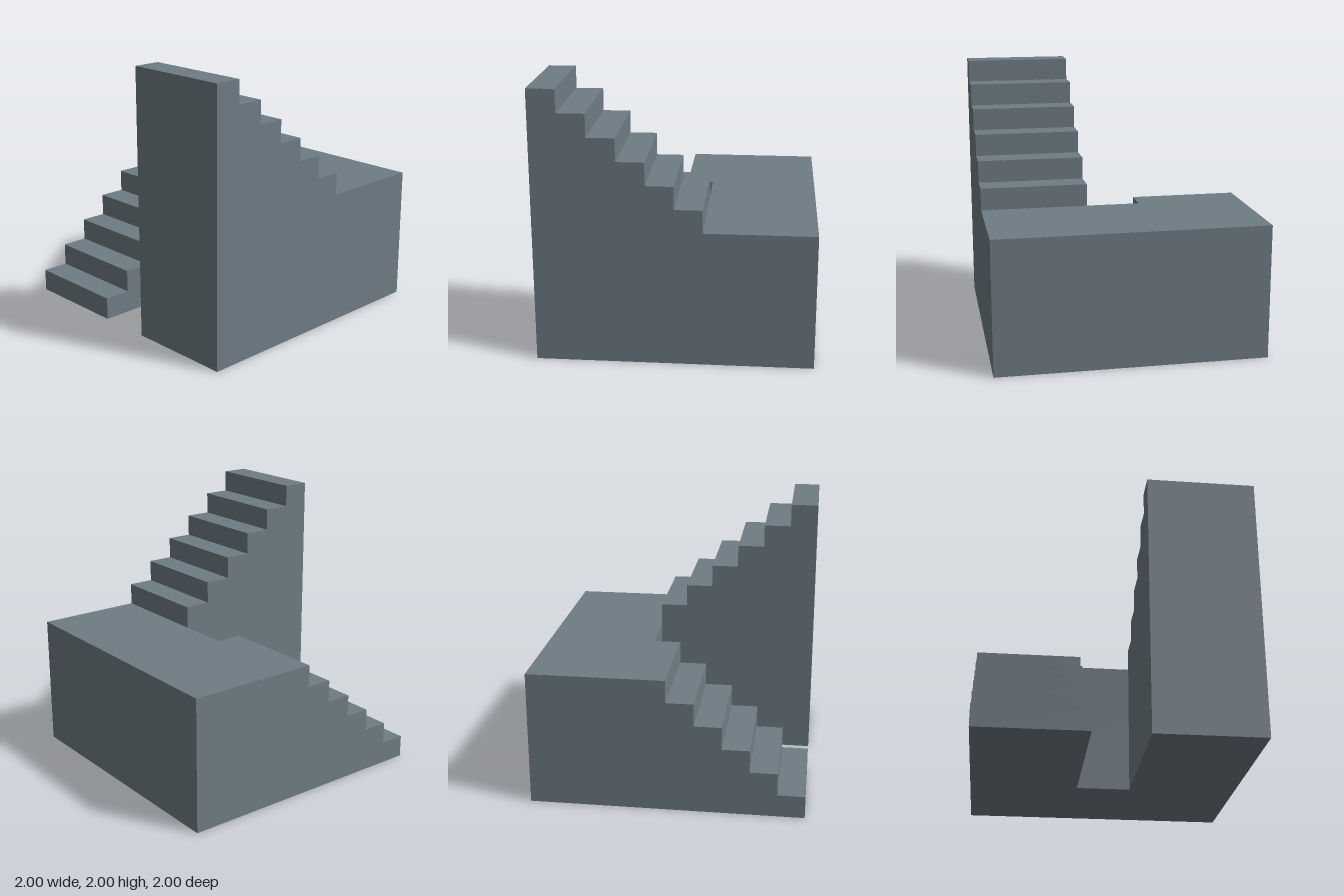
import * as THREE from 'three';

const STEPS = 6;
const RISE = 1 / STEPS;
const RUN = 0.2;
const FLIGHT_WIDTH = 0.8;
const LANDING_BACK = -1;
const LANDING_FRONT = -0.2;

// Extrudes a side profile of [z, y] points across x, from xMin to xMin + width
function extrudeAcross(name, points, xMin, width, material) {
  const shape = new THREE.Shape(points.map(([z, y]) => new THREE.Vector2(z, y)));
  const geometry = new THREE.ExtrudeGeometry(shape, { depth: width, bevelEnabled: false });
  geometry.rotateY(-Math.PI / 2);
  geometry.translate(xMin + width, 0, 0);
  const mesh = new THREE.Mesh(geometry, material);
  mesh.name = name;
  return mesh;
}

export function createModel() {
  const model = new THREE.Group();
  model.name = 'staircase';
  const stone = new THREE.MeshStandardMaterial({ color: 0x6f7c85 });
  stone.name = 'slate grey';

  // Lower flight climbs from the front up to the landing
  const lower = [[LANDING_FRONT, 0], [1, 0]];
  for (let i = 0; i < STEPS; i++) {
    const z = 1 - i * RUN;
    const y = (i + 1) * RISE;
    lower.push([z, y], [i < STEPS - 1 ? z - RUN : LANDING_FRONT, y]);
  }
  model.add(extrudeAcross('lowerFlight', lower, -1, FLIGHT_WIDTH, stone));

  // Landing spans the full width at the back
  const landing = [[LANDING_BACK, 0], [LANDING_FRONT, 0], [LANDING_FRONT, 1], [LANDING_BACK, 1]];
  model.add(extrudeAcross('landing', landing, -1, 2, stone));

  // Upper flight climbs from the landing back towards the front
  const upper = [[LANDING_FRONT, 0], [1, 0]];
  for (let i = STEPS - 1; i >= 0; i--) {
    const z = LANDING_FRONT + i * RUN;
    const y = 1 + (i + 1) * RISE;
    upper.push([z + RUN, y], [z, y]);
  }
  model.add(extrudeAcross('upperFlight', upper, 1 - FLIGHT_WIDTH, FLIGHT_WIDTH, stone));

  return model;
}
